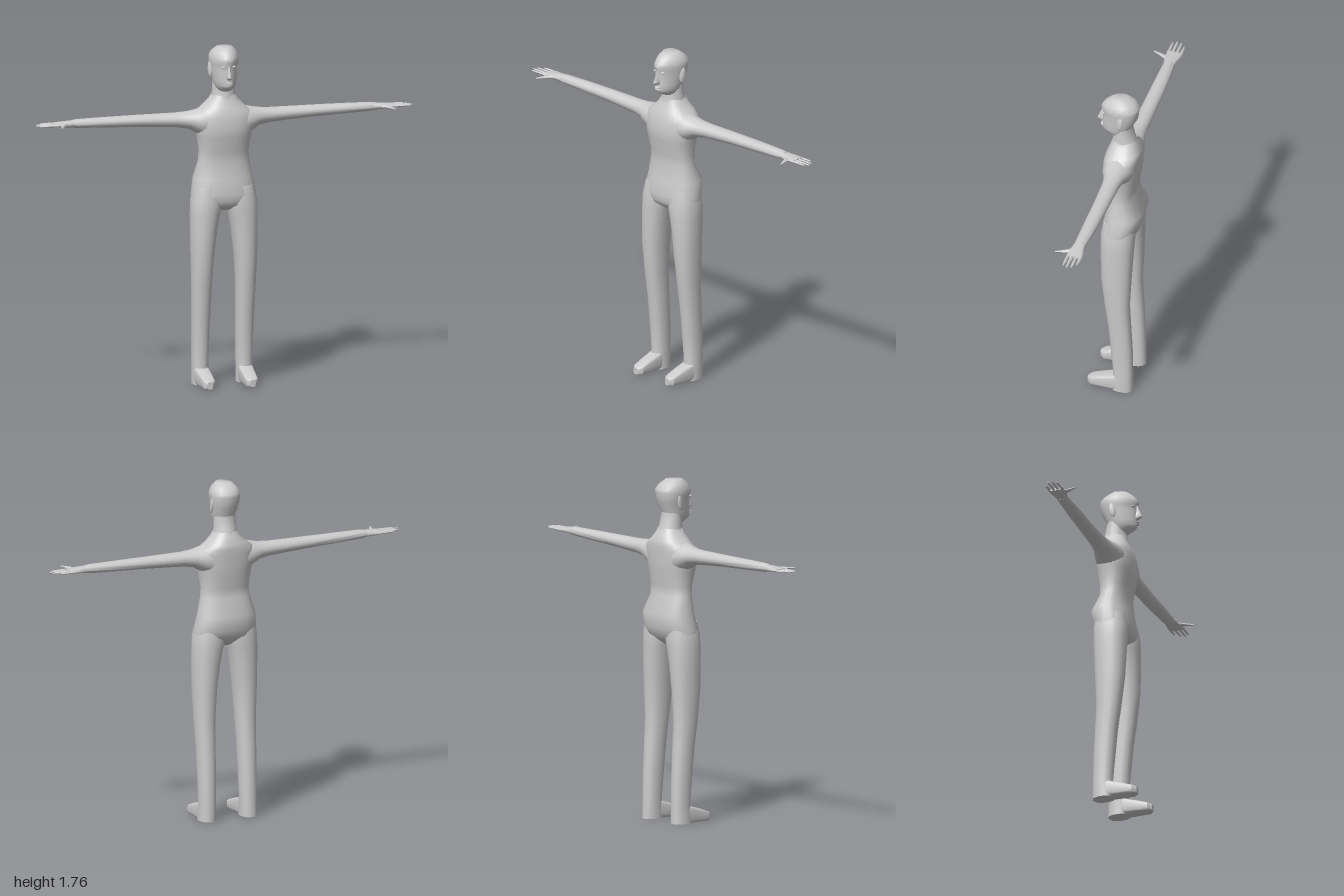
import * as THREE from 'three';
import { toCreasedNormals } from 'three/addons/utils/BufferGeometryUtils.js';

const material = new THREE.MeshStandardMaterial({ color: 0xcccccc });
// for each loft axis: component index of (a, b, axis), right-handed
const AXES = { x: [1, 2, 0], y: [2, 0, 1], z: [0, 1, 2] };

// Closed skin over rounded sections [pos, aMin, aMax, bMin, bMax], pos increasing.
// power: 2 = ellipse, higher = boxier; taper narrows b towards +a.
function loft(axis, rings, { sides = 20, power = 2, taper = 0, crease = 1, mirror = false } = {}) {
  const [ia, ib, ic] = AXES[axis], pos = [], index = [];
  const put = (a, b, c) => {
    const p = [0, 0, 0];
    p[ia] = a; p[ib] = b; p[ic] = c;
    if (mirror) p[0] *= -1;
    pos.push(...p);
  };
  const tri = (a, b, c) => (mirror ? index.push(a, c, b) : index.push(a, b, c));
  const round = (v) => Math.sign(v) * Math.abs(v) ** (2 / power);
  for (const [c, a0, a1, b0, b1] of rings) {
    for (let j = 0; j < sides; j++) {
      const t = (j / sides) * Math.PI * 2;
      const u = round(Math.cos(t)), v = round(Math.sin(t)) * (1 - taper * u);
      put((a0 + a1) / 2 + u * (a1 - a0) / 2, (b0 + b1) / 2 + v * (b1 - b0) / 2, c);
    }
  }
  for (let i = 0; i < rings.length - 1; i++) {
    for (let j = 0; j < sides; j++) {
      const k = (j + 1) % sides, r = i * sides, s = r + sides;
      tri(r + j, r + k, s + k);
      tri(r + j, s + k, s + j);
    }
  }
  // end caps
  const last = (rings.length - 1) * sides, centre = rings.length * sides;
  for (const [c, a0, a1, b0, b1] of [rings[0], rings[rings.length - 1]]) put((a0 + a1) / 2, (b0 + b1) / 2, c);
  for (let j = 0; j < sides; j++) {
    const k = (j + 1) % sides;
    tri(centre, k, j);
    tri(centre + 1, last + j, last + k);
  }
  const g = new THREE.BufferGeometry();
  g.setAttribute('position', new THREE.Float32BufferAttribute(pos, 3));
  g.setIndex(index);
  return toCreasedNormals(g, crease);
}

// symmetric section across x for upright body parts
const sym = (rows) => rows.map(([y, back, front, hw]) => [y, back, front, -hw, hw]);

function add(parent, name, geometry) {
  const m = new THREE.Mesh(geometry, material);
  m.name = name;
  parent.add(m);
  return m;
}

function ball(parent, name, [x, y, z], [sx, sy, sz]) {
  const m = add(parent, name, new THREE.SphereGeometry(1, 12, 8));
  m.position.set(x, y, z);
  m.scale.set(sx, sy, sz);
  return m;
}

function buildHead() {
  const head = new THREE.Group();
  head.name = 'head';
  add(head, 'skull', loft('y', sym([
    [1.535, -0.05, 0.035, 0.04], [1.56, -0.06, 0.086, 0.05], [1.575, -0.062, 0.092, 0.056],
    [1.6, -0.067, 0.09, 0.061], [1.65, -0.095, 0.092, 0.069], [1.68, -0.1, 0.09, 0.073],
    [1.7, -0.103, 0.1, 0.075], [1.718, -0.104, 0.093, 0.073], [1.742, -0.08, 0.075, 0.063],
    [1.765, -0.045, 0.045, 0.04],
  ]), { taper: 0.22, crease: 0.9 }));
  // nose
  add(head, 'nose', loft('y', sym([
    [1.607, 0.07, 0.1, 0.012], [1.62, 0.07, 0.121, 0.015], [1.635, 0.07, 0.113, 0.01], [1.685, 0.07, 0.093, 0.006],
  ]), { sides: 8, taper: 0.3 }));
  ball(head, 'upperLip', [0, 1.59, 0.09], [0.02, 0.005, 0.012]);
  ball(head, 'lowerLip', [0, 1.58, 0.089], [0.017, 0.005, 0.011]);
  for (const s of [-1, 1]) {
    ball(head, 'eye', [s * 0.027, 1.672, 0.079], [0.012, 0.006, 0.008]);
    const ear = ball(head, 'ear', [s * 0.073, 1.648, -0.018], [0.008, 0.04, 0.018]);
    ear.rotation.set(-0.15, s * -0.3, 0);
  }
  return head;
}

function buildArm(mirror) {
  const arm = new THREE.Group();
  arm.name = mirror ? 'rightArm' : 'leftArm';
  add(arm, 'sleeve', loft('x', [
    [0.06, 1.27, 1.468, -0.1, 0.06], [0.11, 1.295, 1.45, -0.097, 0.058], [0.15, 1.32, 1.44, -0.088, 0.05],
    [0.19, 1.342, 1.432, -0.077, 0.032], [0.25, 1.352, 1.428, -0.07, 0.02], [0.45, 1.365, 1.427, -0.067, 0.012],
    [0.62, 1.372, 1.426, -0.064, 0.011], [0.78, 1.379, 1.424, -0.056, 0.008], [0.81, 1.384, 1.42, -0.053, 0.006],
  ], { mirror }));
  add(arm, 'hand', loft('x', [
    [0.79, 1.383, 1.42, -0.052, 0.006], [0.83, 1.387, 1.417, -0.056, 0.012],
    [0.87, 1.391, 1.413, -0.064, 0.018], [0.905, 1.395, 1.409, -0.064, 0.018],
  ], { mirror, power: 2.6, sides: 16 }));
  // four fingers: [z, tip x]
  for (const [z, tip] of [[-0.056, 0.965], [-0.033, 0.992], [-0.01, 1], [0.011, 0.985]]) {
    add(arm, 'finger', loft('x', [
      [0.89, 1.396, 1.408, z - 0.008, z + 0.008], [tip - 0.02, 1.398, 1.407, z - 0.006, z + 0.006],
      [tip, 1.4, 1.405, z - 0.003, z + 0.003],
    ], { mirror, sides: 8 }));
  }
  // thumb splayed forward
  add(arm, 'thumb', loft('z', [
    [-0.005, 0.81, 0.865, 1.392, 1.412], [0.02, 0.845, 0.875, 1.394, 1.411],
    [0.05, 0.864, 0.882, 1.397, 1.409], [0.082, 0.882, 0.891, 1.4, 1.406],
  ], { mirror, sides: 8 }));
  return arm;
}

function buildLeg(mirror) {
  const leg = new THREE.Group();
  leg.name = mirror ? 'rightLeg' : 'leftLeg';
  add(leg, 'trouserLeg', loft('y', [
    [0, -0.105, 0.01, 0.075, 0.16], [0.11, -0.103, 0, 0.075, 0.159], [0.25, -0.1, 0.013, 0.072, 0.161],
    [0.39, -0.092, 0.026, 0.069, 0.164], [0.53, -0.085, 0.046, 0.065, 0.168], [0.69, -0.093, 0.064, 0.055, 0.173],
    [0.82, -0.099, 0.068, 0.038, 0.175], [0.9, -0.103, 0.07, 0.022, 0.175], [0.97, -0.106, 0.071, 0.004, 0.172],
    [1.04, -0.1, 0.06, 0.01, 0.155],
  ], { mirror, power: 2.3 }));
  add(leg, 'foot', loft('z', [
    [-0.04, 0.08, 0.156, 0, 0.1], [0, 0.077, 0.155, 0, 0.086], [0.06, 0.079, 0.15, 0, 0.068],
    [0.115, 0.081, 0.146, 0, 0.048], [0.135, 0.1, 0.128, 0.004, 0.04],
  ], { mirror, power: 5, crease: 0.6 }));
  return leg;
}

export function createModel() {
  const figure = new THREE.Group();
  figure.name = 'standingFigure';
  figure.add(buildHead());
  add(figure, 'neck', loft('y', sym([
    [1.45, -0.1, 0.055, 0.075], [1.49, -0.095, 0.042, 0.066], [1.53, -0.082, 0.035, 0.059],
    [1.6, -0.065, 0.033, 0.058], [1.64, -0.07, 0.03, 0.055],
  ])));
  add(figure, 'torso', loft('y', sym([
    [0.912, -0.05, 0.02, 0.03], [0.94, -0.085, 0.062, 0.12], [0.965, -0.11, 0.072, 0.17], [1.0, -0.118, 0.075, 0.17],
    [1.08, -0.138, 0.063, 0.155], [1.17, -0.09, 0.05, 0.134], [1.22, -0.095, 0.057, 0.13],
    [1.3, -0.107, 0.075, 0.142], [1.34, -0.111, 0.08, 0.15], [1.4, -0.113, 0.073, 0.155],
    [1.43, -0.115, 0.066, 0.145], [1.455, -0.114, 0.056, 0.108], [1.49, -0.096, 0.042, 0.074], [1.515, -0.086, 0.034, 0.059],
  ]), { sides: 28, power: 2.4 }));
  for (const mirror of [false, true]) figure.add(buildArm(mirror), buildLeg(mirror));
  return figure;
}
